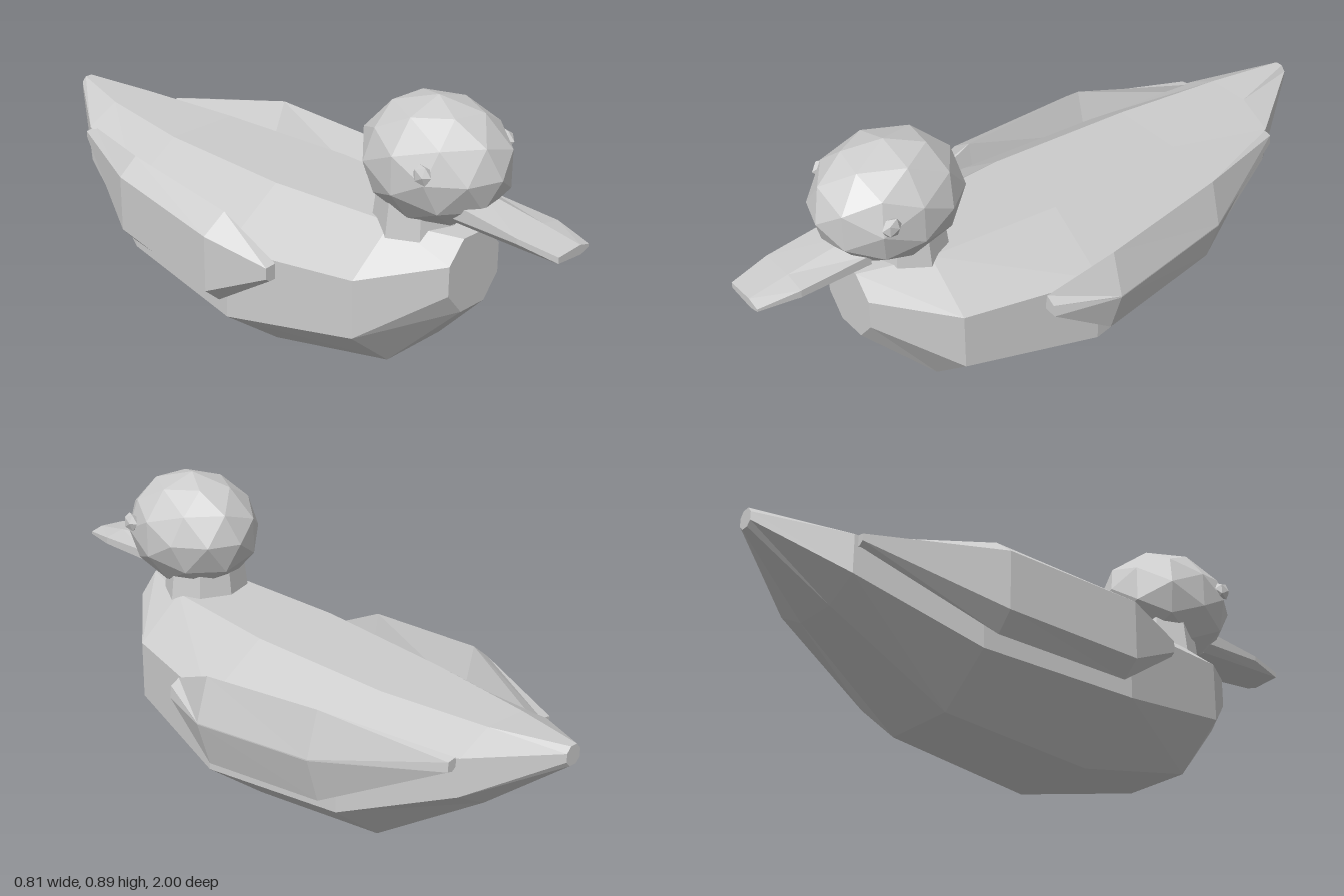
import * as THREE from 'three';

// Skin a row of cross-sections, each [z, [[x, y], ...]] anticlockwise seen from +z, running front to back.
function loft(sections) {
  const n = sections[0][1].length;
  const pos = [];
  const P = (i, j) => [...sections[i][1][j % n], sections[i][0]];
  const tri = (a, b, c) => pos.push(...a, ...b, ...c);
  for (let i = 0; i < sections.length - 1; i++) {
    for (let j = 0; j < n; j++) {
      tri(P(i, j), P(i + 1, j), P(i, j + 1));
      tri(P(i, j + 1), P(i + 1, j), P(i + 1, j + 1));
    }
  }
  const last = sections.length - 1;
  for (let j = 1; j < n - 1; j++) {
    tri(P(0, 0), P(0, j), P(0, j + 1));
    tri(P(last, 0), P(last, j + 1), P(last, j));
  }
  const g = new THREE.BufferGeometry();
  g.setAttribute('position', new THREE.Float32BufferAttribute(pos, 3));
  g.computeVertexNormals();
  return g;
}

// Octagonal hull section: flat bottom, upright sides, flat top.
function hull(z, flat, side, bottom, low, high, top) {
  return [z, [[flat, bottom], [side, low], [side, high], [flat, top],
    [-flat, top], [-side, high], [-side, low], [-flat, bottom]]];
}

// Faceted ball with one corner pointing straight forward.
function facetedBall(detail) {
  const g = new THREE.IcosahedronGeometry(1, detail);
  g.rotateZ(-Math.atan(2 / (1 + Math.sqrt(5))));
  g.rotateY(Math.PI);
  g.rotateX(Math.PI / 2);
  return g;
}

export function createModel() {
  const model = new THREE.Group();
  model.name = 'duck';
  const grey = new THREE.MeshStandardMaterial({ color: 0xcccccc, flatShading: true });
  grey.name = 'plain grey';

  const add = (name, geometry, position = [0, 0, 0], scale = [1, 1, 1]) => {
    const mesh = new THREE.Mesh(geometry, grey);
    mesh.name = name;
    mesh.position.set(...position);
    mesh.scale.set(...scale);
    model.add(mesh);
  };

  const cx = -0.006;

  // Body, from breast to tail tip
  add('body', loft([
    hull(0.685, 0.048, 0.104, 0.302, 0.37, 0.46, 0.525),
    hull(0.48, 0.113, 0.263, 0.09, 0.22, 0.4, 0.525),
    hull(0.06, 0.143, 0.343, 0.0, 0.152, 0.375, 0.515),
    hull(-0.42, 0.12, 0.285, 0.053, 0.185, 0.39, 0.505),
    hull(-0.77, 0.07, 0.175, 0.28, 0.335, 0.45, 0.507),
    hull(-1.0, 0.012, 0.026, 0.46, 0.475, 0.5, 0.517),
  ]), [cx, 0, 0]);

  // Neck and head
  add('neck', new THREE.CylinderGeometry(0.127, 0.143, 0.13, 8), [-0.012, 0.542, 0.49], [1, 1, 0.9]);
  add('head', facetedBall(1), [cx, 0.705, 0.538], [0.193, 0.181, 0.228]);

  // Eyes
  for (const side of [-1, 1]) {
    add(side > 0 ? 'leftEye' : 'rightEye', facetedBall(0),
      [cx + side * 0.171, 0.735, 0.635], [0.019, 0.031, 0.031]);
  }

  // Bill, slightly lopsided with a ridge on its upper face
  add('bill', loft([
    [1.0, [[-0.065, 0.572], [0.03, 0.565], [0.065, 0.575], [0.065, 0.583], [0.025, 0.594], [-0.065, 0.59], [-0.065, 0.582]]],
    [0.88, [[-0.065, 0.57], [0.03, 0.562], [0.09, 0.578], [0.09, 0.6], [0.025, 0.613], [-0.085, 0.608], [-0.085, 0.592]]],
    [0.66, [[-0.06, 0.567], [0.03, 0.56], [0.09, 0.578], [0.09, 0.608], [0.025, 0.643], [-0.085, 0.634], [-0.085, 0.59]]],
  ]));

  // Left wing, diamond section with blunt square ends
  add('leftWing', loft([
    [0.23, [[0.303, 0.335], [0.32, 0.332], [0.345, 0.33], [0.34, 0.366], [0.31, 0.384]]],
    [0.03, [[0.29, 0.335], [0.36, 0.192], [0.403, 0.333], [0.403, 0.337], [0.362, 0.473]]],
    [-0.39, [[0.265, 0.365], [0.32, 0.225], [0.36, 0.363], [0.36, 0.367], [0.322, 0.505]]],
    [-0.76, [[0.165, 0.43], [0.185, 0.414], [0.202, 0.417], [0.2, 0.446], [0.175, 0.452]]],
  ]));

  // Right wing, with an upright outer face
  add('rightWing', loft([
    [0.23, [[-0.318, 0.33], [-0.318, 0.378], [-0.353, 0.375], [-0.353, 0.34], [-0.34, 0.33]]],
    [0.03, [[-0.3, 0.33], [-0.325, 0.473], [-0.404, 0.42], [-0.404, 0.245], [-0.352, 0.198]]],
    [-0.39, [[-0.265, 0.36], [-0.303, 0.505], [-0.365, 0.455], [-0.365, 0.28], [-0.315, 0.225]]],
    [-0.76, [[-0.17, 0.42], [-0.17, 0.45], [-0.205, 0.445], [-0.205, 0.425], [-0.19, 0.414]]],
  ]));

  return model;
}
